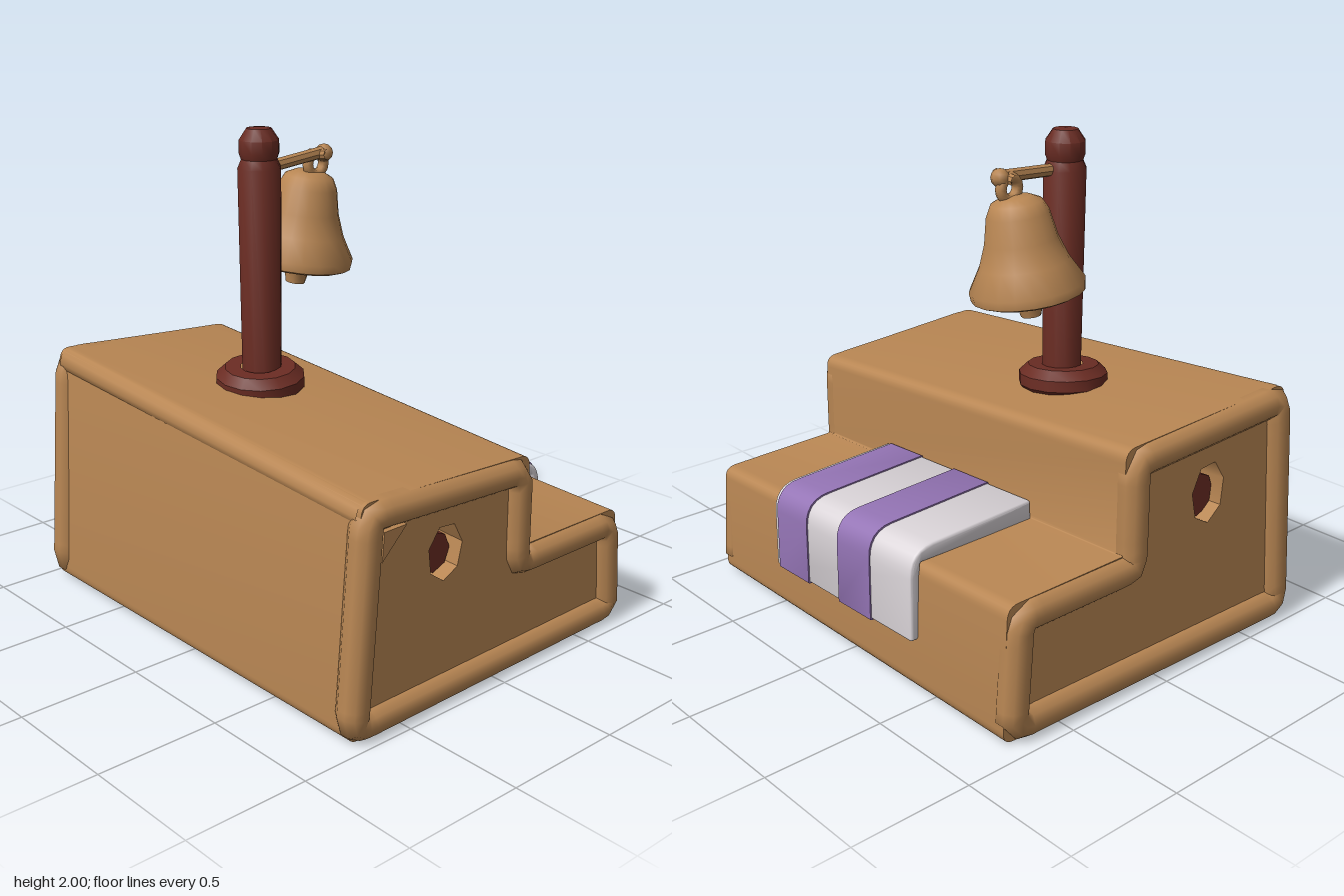
import * as THREE from 'three';
import { toCreasedNormals } from 'three/addons/utils/BufferGeometryUtils.js';

const wood = new THREE.MeshStandardMaterial({ name: 'wood', color: 0xb88653 });
const darkRed = new THREE.MeshStandardMaterial({ name: 'darkRed', color: 0x6a2c23 });
const white = new THREE.MeshStandardMaterial({ name: 'white', color: 0xdcd6da });
const purple = new THREE.MeshStandardMaterial({ name: 'purple', color: 0x9575b6 });

// Closed outline from [z, y, cornerRadius] points
function outline(points, radius) {
  const shape = new THREE.Shape();
  const v = points.map((p) => new THREE.Vector2(p[0], p[1]));
  const n = v.length;
  for (let i = 0; i < n; i++) {
    const r = points[i][2] ?? radius;
    const toward = (o) => v[i].clone().add(o.clone().sub(v[i]).setLength(r));
    const a = toward(v[(i + n - 1) % n]);
    const b = toward(v[(i + 1) % n]);
    if (i === 0) shape.moveTo(a.x, a.y);
    else shape.lineTo(a.x, a.y);
    shape.quadraticCurveTo(v[i].x, v[i].y, b.x, b.y);
  }
  shape.closePath();
  return shape;
}

// Extrude a (z, y) outline along x between two positions
function extrudeX(shape, x0, x1, bevel = 0) {
  const geo = new THREE.ExtrudeGeometry(shape, {
    depth: x1 - x0 - 2 * bevel, curveSegments: 6, bevelEnabled: bevel > 0,
    bevelSize: bevel, bevelThickness: bevel, bevelOffset: -bevel, bevelSegments: 3,
  });
  return geo.translate(0, 0, -(x1 - x0) / 2 + bevel).rotateY(-Math.PI / 2).translate((x0 + x1) / 2, 0, 0);
}

// Crooked carpentry: heights fall toward +x, ends flare toward the front
function warp(geo) {
  const p = geo.attributes.position;
  for (let i = 0; i < p.count; i++) {
    const x = p.getX(i);
    p.setXYZ(i, x * (1 + 0.02 * p.getZ(i)), p.getY(i) * (1 - 0.075 * x), p.getZ(i));
  }
  return geo;
}

function add(parent, name, geo, material, crease = 0.7) {
  const mesh = new THREE.Mesh(toCreasedNormals(geo, crease), material);
  mesh.name = name;
  parent.add(mesh);
  return mesh;
}

function lathe(points, sides) {
  return new THREE.LatheGeometry(points.map((p) => new THREE.Vector2(p[0], p[1])), sides);
}

function rod(a, b, radius, sides = 10) {
  const curve = new THREE.LineCurve3(new THREE.Vector3(...a), new THREE.Vector3(...b));
  return new THREE.TubeGeometry(curve, 1, radius, sides);
}

export function createModel() {
  const model = new THREE.Group();
  model.name = 'steppedBellStand';

  // Stepped wooden body with a knot hole running through both ends
  const steps = new THREE.Group();
  steps.name = 'steps';
  model.add(steps);
  const bodyShape = outline([
    [0.75, 0.008], [0.69, 0.968], [-0.185, 0.923], [-0.185, 0.53, 0.01], [-0.745, 0.52], [-0.765, 0.008],
  ], 0.05);
  const hole = new THREE.Path();
  for (let i = 0; i < 7; i++) {
    const a = -(i / 7) * Math.PI * 2 + 0.3;
    const z = 0.27 + 0.09 * Math.cos(a), y = 0.645 + 0.12 * Math.sin(a);
    if (i === 0) hole.moveTo(z, y);
    else hole.lineTo(z, y);
  }
  hole.closePath();
  bodyShape.holes.push(hole);
  add(steps, 'body', warp(extrudeX(bodyShape, -0.925, 0.925)), wood);

  // Rounded frame around each end
  const framePoints = outline([
    [0.718, 0.062], [0.653, 0.908], [-0.128, 0.864], [-0.128, 0.468], [-0.685, 0.46], [-0.713, 0.062],
  ], 0.04).getSpacedPoints(90).slice(0, -1);
  for (const side of [-1, 1]) {
    const path = new THREE.CatmullRomCurve3(
      framePoints.map((p) => new THREE.Vector3(side * 0.91, p.y, p.x)), true);
    add(steps, 'endFrame', warp(new THREE.TubeGeometry(path, 120, 0.062, 10, true)), wood, 1.2);
  }

  // Front top rail, corner brace and the red core inside the knot hole
  add(steps, 'frontRail', warp(rod([-0.91, 0.912, 0.648], [0.91, 0.912, 0.648], 0.055)), wood);
  const brace = new THREE.Shape([[0.61, 0.72], [0.6, 0.84], [0.49, 0.84]].map((p) => new THREE.Vector2(...p)));
  add(steps, 'cornerBrace', warp(extrudeX(brace, 0.9, 0.945)), wood);
  const core = new THREE.CylinderGeometry(0.085, 0.085, 1.74, 8).rotateZ(Math.PI / 2).translate(0, 0.62, 0.275);
  add(steps, 'knotCore', warp(core), darkRed);

  // Striped cloth draped over the lower step
  const cloth = new THREE.Group();
  cloth.name = 'cloth';
  model.add(cloth);
  const clothShape = outline([
    [-0.185, 0.52], [-0.19, 0.605], [-0.785, 0.578, 0.11], [-0.787, 0.215], [-0.742, 0.215], [-0.735, 0.52],
  ], 0.01);
  add(cloth, 'clothSheet', warp(extrudeX(clothShape, -0.43, 0.48, 0.012)), white);
  const stripeShape = outline([
    [-0.19, 0.5], [-0.19, 0.611], [-0.791, 0.584, 0.11], [-0.793, 0.21], [-0.74, 0.21], [-0.735, 0.5],
  ], 0.008);
  for (const [x0, x1] of [[-0.18, 0.03], [0.24, 0.45]]) {
    add(cloth, 'clothStripe', warp(extrudeX(stripeShape, x0, x1)), purple);
  }

  // Post with a grooved cap, standing on a round flange
  const post = new THREE.Group();
  post.name = 'post';
  post.position.set(-0.188, 0, 0.2);
  model.add(post);
  add(post, 'pole', lathe([
    [0, 0.9], [0.08, 0.9], [0.087, 1.84], [0.072, 1.875], [0.081, 1.9], [0.08, 1.95], [0.05, 1.995], [0, 2],
  ], 12), darkRed);
  const flange = add(post, 'flange', lathe([
    [0, -0.05], [0.15, -0.05], [0.182, -0.015], [0.182, 0.03], [0.145, 0.065], [0.08, 0.065],
  ], 14), darkRed);
  flange.position.set(0, 0.968, 0.01);
  flange.rotation.set(0.06, 0, -0.07);

  // Arm and hanging loop
  const hanger = new THREE.Group();
  hanger.name = 'hanger';
  model.add(hanger);
  add(hanger, 'arm', rod([-0.18, 1.84, 0.15], [-0.21, 1.862, -0.15], 0.025, 8), wood);
  add(hanger, 'armTip', new THREE.SphereGeometry(0.037, 8, 6).translate(-0.213, 1.858, -0.16), wood, 1.2);
  add(hanger, 'crossPin', rod([-0.265, 1.85, -0.13], [-0.155, 1.86, -0.13], 0.022, 8), wood);
  add(hanger, 'loop', new THREE.TorusGeometry(0.042, 0.022, 8, 14).rotateY(Math.PI / 2)
    .translate(-0.225, 1.815, -0.125), wood, 1.2);

  // Hollow bell with clapper, hanging slightly askew
  const bell = new THREE.Group();
  bell.name = 'bell';
  bell.position.set(-0.245, 1.78, -0.11);
  bell.rotation.set(-0.1, 0, -0.09);
  model.add(bell);
  add(bell, 'bellShell', lathe([
    [0, -0.06], [0.075, -0.07], [0.1, -0.2], [0.14, -0.29], [0.175, -0.36], [0.2, -0.385], [0.222, -0.375],
    [0.226, -0.34], [0.175, -0.25], [0.142, -0.16], [0.122, -0.06], [0.1, -0.015], [0.06, 0.005], [0, 0.01],
  ], 20), wood);
  add(bell, 'clapper', lathe([
    [0, -0.47], [0.04, -0.465], [0.05, -0.42], [0.072, -0.405], [0.068, -0.36], [0.03, -0.33], [0.025, -0.06],
  ], 10), wood);

  return model;
}
